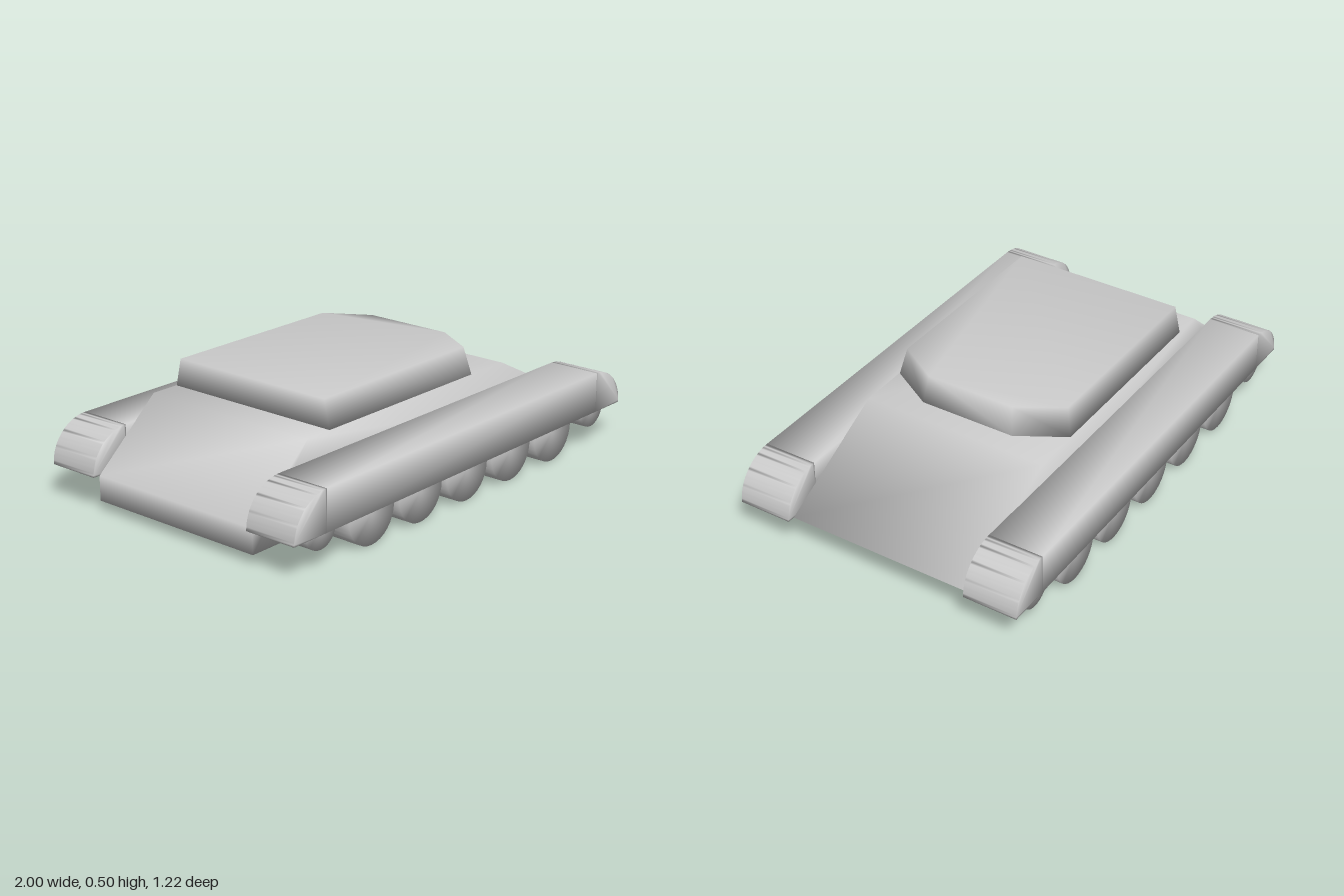
import * as THREE from 'three';
import { mergeVertices } from 'three/addons/utils/BufferGeometryUtils.js';

const material = new THREE.MeshStandardMaterial({ color: 0xcccccc });

// Weld shared corners so normals blend across every edge
function soften(geometry) {
  geometry.deleteAttribute('uv');
  geometry.deleteAttribute('normal');
  const welded = mergeVertices(geometry, 1e-4);
  welded.computeVertexNormals();
  return welded;
}

function part(name, geometry, parent) {
  const mesh = new THREE.Mesh(soften(geometry), material);
  mesh.name = name;
  parent.add(mesh);
  return mesh;
}

// Straight extrusion centred on z = 0
function extrude(shape, depth) {
  return new THREE.ExtrudeGeometry(shape, { depth, bevelEnabled: false, curveSegments: 16 })
    .translate(0, 0, -depth / 2);
}

const outline = (points) => new THREE.Shape(points.map(([x, y]) => new THREE.Vector2(x, y)));

function hullGeometry() {
  return extrude(outline([
    [-0.97, 0.04], [0.87, 0.04], [0.97, 0.14],
    [0.48, 0.39], [-0.68, 0.39], [-0.97, 0.14],
  ]), 0.78);
}

// Six-sided prism, its top drawn in from the nose and flanks
function turretGeometry() {
  const back = -0.56;
  const geometry = new THREE.ExtrudeGeometry(outline([
    [back, -0.388], [0.28, -0.388], [0.39, -0.2],
    [0.39, 0.2], [0.28, 0.388], [back, 0.388],
  ]), { depth: 0.112, bevelEnabled: false }).rotateX(-Math.PI / 2);
  const p = geometry.attributes.position;
  for (let i = 0; i < p.count; i++) {
    if (p.getY(i) > 0.05) {
      p.setX(i, back + (p.getX(i) - back) * 0.975);
      p.setZ(i, p.getZ(i) * 0.935);
    }
  }
  return geometry.translate(0, 0.39, 0);
}

// Quarter-round end of a track guard
function guardEndGeometry() {
  const shape = new THREE.Shape();
  shape.moveTo(0, 0);
  shape.lineTo(0.17, 0);
  shape.absellipse(0, 0, 0.17, 0.165, 0, Math.PI / 2, false);
  shape.lineTo(0, 0);
  return extrude(shape, 0.222);
}

function buildTrack(side) {
  const track = new THREE.Group();
  track.name = side > 0 ? 'leftTrack' : 'rightTrack';

  const guard = new THREE.BoxGeometry(1.66, 0.165, 0.222);
  part('trackGuard', guard, track).position.set(0, 0.2225, side * 0.5);

  for (const end of [1, -1]) {
    const cap = part('trackGuardEnd', guardEndGeometry(), track);
    cap.position.set(end * 0.83, 0.14, side * 0.5);
    if (end < 0) cap.rotation.y = Math.PI;
  }

  const wheel = (name, radius, x, y) => {
    const geometry = new THREE.CylinderGeometry(radius, radius, 0.168, 32).rotateX(Math.PI / 2);
    part(name, geometry, track).position.set(x, y, side * 0.502);
  };
  // Five road wheels with a smaller wheel at each end
  for (let i = -2; i <= 2; i++) wheel('roadWheel', 0.125, i * 0.28, 0.125);
  for (const end of [1, -1]) wheel('endWheel', 0.081, end * 0.835, 0.152);
  return track;
}

export function createModel() {
  const model = new THREE.Group();
  model.name = 'armouredVehicle';
  part('hull', hullGeometry(), model);
  part('turret', turretGeometry(), model);
  model.add(buildTrack(1), buildTrack(-1));
  return model;
}
